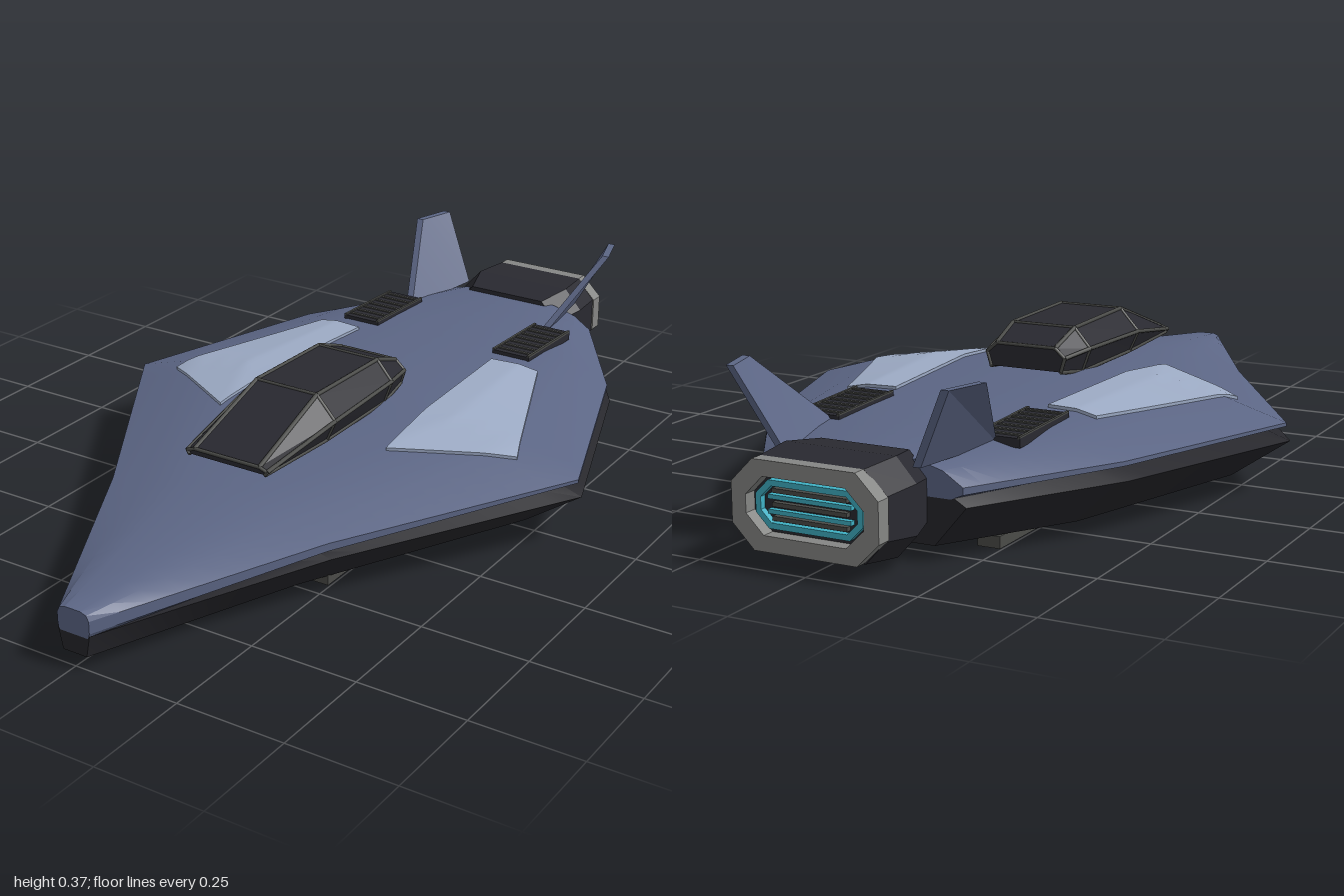
import * as THREE from 'three';
import { toCreasedNormals } from 'three/addons/utils/BufferGeometryUtils.js';

const mat = (name, color) => Object.assign(new THREE.MeshStandardMaterial({ color }), { name });

// Hull stations, nose to tail: z, then half-profile points
// [flat top], [shoulder], [rim top], [rim bottom]
const UPPER = [
  [1.0, [0.02, 0.13], [0.034, 0.125], [0.04, 0.113], [0.04, 0.085]],
  [0.52, [0.08, 0.182], [0.18, 0.167], [0.285, 0.14], [0.285, 0.122]],
  [0.0, [0.29, 0.226], [0.45, 0.2], [0.602, 0.155], [0.602, 0.147]],
  [-0.49, [0.25, 0.216], [0.34, 0.197], [0.435, 0.162], [0.435, 0.152]],
  [-0.8, [0.13, 0.203], [0.19, 0.187], [0.235, 0.158], [0.235, 0.143]],
];
// [rim], [bottom edge]
const LOWER = [
  [1.0, [0.04, 0.08], [0.03, 0.03]],
  [0.52, [0.292, 0.104], [0.21, 0.021]],
  [0.0, [0.612, 0.115], [0.475, 0.02]],
  [-0.49, [0.445, 0.122], [0.33, 0.022]],
  [-0.8, [0.242, 0.118], [0.17, 0.032]],
];
const CANOPY = [
  [0.48, [0.085, 0.247], [0.105, 0.24], [0.1, 0.232]],
  [0.25, [0.08, 0.328], [0.128, 0.275], [0.105, 0.225]],
  [0.0, [0.08, 0.323], [0.12, 0.277], [0.1, 0.222]],
  [-0.09, [0.075, 0.29], [0.1, 0.268], [0.09, 0.235]],
];

const lerp = THREE.MathUtils.lerp;

// Half-profile of a station list at any z
function profileAt(stations, z) {
  let i = 0;
  while (i < stations.length - 2 && z < stations[i + 1][0]) i++;
  const [a, b] = [stations[i], stations[i + 1]];
  const t = (z - a[0]) / (b[0] - a[0]);
  return a.slice(1).map((p, k) => [lerp(p[0], b[k + 1][0], t), lerp(p[1], b[k + 1][1], t)]);
}

// Height of the upper hull at x, z
function topY(x, z) {
  const p = profileAt(UPPER, z);
  if (x <= p[0][0]) return p[0][1];
  const i = x <= p[1][0] ? 0 : 1;
  return lerp(p[i][1], p[i + 1][1], (x - p[i][0]) / (p[i + 1][0] - p[i][0]));
}

// Subdivide stations so twisted faces stay even
function refine(stations, n) {
  const out = [];
  for (let i = 0; i < stations.length - 1; i++)
    for (let k = 0; k < n; k++) {
      const z = lerp(stations[i][0], stations[i + 1][0], k / n);
      out.push([z, ...profileAt(stations, z)]);
    }
  out.push(stations[stations.length - 1]);
  return out;
}

// Mirrored, capped loft through half-profiles listed top to bottom, front to back
function loft(stations, crease = 0.3) {
  const pos = [], idx = [];
  const n = (stations[0].length - 1) * 2;
  for (const [z, ...half] of stations) {
    for (const [x, y] of half) pos.push(x, y, z);
    for (const [x, y] of [...half].reverse()) pos.push(-x, y, z);
  }
  for (let i = 0; i < stations.length - 1; i++)
    for (let j = 0; j < n; j++) {
      const a = i * n + j, b = i * n + (j + 1) % n;
      idx.push(a, b, b + n, a, b + n, a + n);
    }
  const last = (stations.length - 1) * n;
  for (let j = 1; j < n - 1; j++) {
    idx.push(0, j + 1, j);
    idx.push(last, last + j, last + j + 1);
  }
  const g = new THREE.BufferGeometry();
  g.setAttribute('position', new THREE.Float32BufferAttribute(pos, 3));
  g.setIndex(idx);
  return toCreasedNormals(g, crease);
}

// Elongated octagon outline
function octagon(w, h, c, Type = THREE.Shape) {
  return new Type([[w, h - c], [w - c, h], [c - w, h], [-w, h - c], [-w, c - h], [c - w, -h], [w - c, -h], [w, c - h]]
    .map(([x, y]) => new THREE.Vector2(x, y)));
}
function octagonRing(w, h, c, t, depth) {
  const s = octagon(w, h, c);
  s.holes.push(octagon(w - t, h - t, c * 0.8, THREE.Path));
  return new THREE.ExtrudeGeometry(s, { depth, bevelEnabled: false });
}

export function createModel() {
  const hullBlue = mat('hull blue', 0x5c6685);
  const dark = mat('dark underside', 0x26262b);
  const glass = mat('dark glass', 0x292930);
  const trim = mat('grey trim', 0x4a4b48);
  const metal = mat('nozzle metal', 0x858684);
  const glow = mat('engine cyan', 0x3fb0c4);
  const panelBlue = mat('panel light blue', 0x9dabc5);
  panelBlue.side = THREE.DoubleSide;

  const model = new THREE.Group();
  const add = (name, geo, material, parent = model) => {
    const m = new THREE.Mesh(geo, material);
    m.name = name;
    parent.add(m);
    return m;
  };
  const box = (name, w, h, d, x, y, z, material, parent) => {
    const m = add(name, new THREE.BoxGeometry(w, h, d), material, parent);
    m.position.set(x, y, z);
    return m;
  };
  const bar = (name, a, b, r, material, parent) => {
    const [p, q] = [new THREE.Vector3(...a), new THREE.Vector3(...b)];
    const m = add(name, new THREE.CylinderGeometry(r, r, p.distanceTo(q), 6), material, parent);
    m.position.copy(p).lerp(q, 0.5);
    m.quaternion.setFromUnitVectors(new THREE.Vector3(0, 1, 0), q.sub(p).normalize());
  };

  // Hull halves, meeting at a recessed seam
  const upper = UPPER.map((s) => [...s, [s[4][0] * 0.88, s[4][1] - 0.012]]);
  const lower = LOWER.map((s, i) => [s[0], [s[1][0] * 0.88, UPPER[i][4][1] - 0.008], s[1], s[2]]);
  add('upperHull', loft(refine(upper, 8)), hullBlue);
  add('lowerHull', loft(refine(lower, 8)), dark);

  // Canopy with its frame
  add('canopy', loft(CANOPY, 0.1), glass);
  const frame = new THREE.Group();
  frame.name = 'canopyFrame';
  model.add(frame);
  CANOPY.forEach(([z, ...half], i) => {
    for (const s of [1, -1]) {
      half.forEach(([x, y], k) => {
        if (k < 2) bar('crossRib', [s * x, y, z], [s * half[k + 1][0], half[k + 1][1], z], 0.004, trim, frame);
        const next = CANOPY[i + 1];
        if (next) bar('lengthRib', [s * x, y, z], [s * next[k + 1][0], next[k + 1][1], next[0]], 0.005, trim, frame);
      });
    }
    bar('topRib', [-half[0][0], half[0][1], z], [half[0][0], half[0][1], z], 0.004, trim, frame);
  });

  // Engine housing, nozzle rim and glowing grille
  const housing = [[-0.78, 0.148, 0.03, 0.215], [-0.87, 0.173, 0.022, 0.226], [-0.97, 0.163, 0.035, 0.222]];
  add('engineHousing', loft(housing.map(([z, w, y0, y1]) =>
    [z, [w - 0.045, y1], [w, y1 - 0.05], [w, y0 + 0.05], [w - 0.045, y0]]), 0.1), glass);
  const engine = new THREE.Group();
  engine.name = 'engineNozzle';
  engine.position.set(0, 0.13, -1);
  model.add(engine);
  add('nozzleRim', octagonRing(0.167, 0.092, 0.05, 0.033, 0.036), metal, engine);
  add('glowRing', octagonRing(0.122, 0.049, 0.03, 0.012, 0.015), glow, engine).position.z = 0.016;
  for (const y of [-0.015, 0.015]) box('glowBar', 0.19, 0.009, 0.012, 0, y, 0.024, glow, engine);
  for (const y of [-0.028, 0, 0.028]) box('grilleBar', 0.17, 0.009, 0.012, 0, y, 0.024, trim, engine);

  // Parts repeated on each side
  for (const side of [1, -1]) {
    const half = new THREE.Group();
    half.name = side > 0 ? 'leftSide' : 'rightSide';
    half.scale.x = side;
    model.add(half);

    // Wing panel draped over the hull, its border folded down
    const n = 16, panel = new THREE.PlaneGeometry(1, 1, n, n), p = panel.attributes.position;
    const [A, B, C, D] = [[0.19, -0.35], [0.31, -0.362], [0.47, 0.04], [0.225, 0.195]];
    for (let i = 0; i < p.count; i++) {
      const c = i % (n + 1), r = Math.floor(i / (n + 1));
      const u = THREE.MathUtils.clamp((c - 1) / (n - 2), 0, 1);
      const v = THREE.MathUtils.clamp((r - 1) / (n - 2), 0, 1);
      const [x, z] = [0, 1].map((k) => lerp(lerp(A[k], B[k], u), lerp(D[k], C[k], u), v));
      const border = c === 0 || c === n || r === 0 || r === n;
      p.setXYZ(i, x, topY(x, z) + (border ? -0.002 : 0.007), z);
    }
    add('wingPanel', toCreasedNormals(panel, 0.3), panelBlue, half);

    // Slatted vent
    const vent = new THREE.Group();
    vent.name = 'vent';
    vent.position.set(0.215, 0.213, -0.51);
    vent.rotation.x = -0.035;
    half.add(vent);
    box('ventBase', 0.1, 0.02, 0.22, 0, 0, 0, glass, vent);
    for (let i = 0; i < 7; i++) box('ventSlat', 0.084, 0.004, 0.008, 0, 0.011, -0.09 + i * 0.03, trim, vent);
    for (const x of [-0.047, 0.047]) box('ventRail', 0.006, 0.005, 0.22, x, 0.011, 0, trim, vent);

    // Canted tail fin: a thin box with its corners moved
    const fin = new THREE.BoxGeometry(1, 1, 1), f = fin.attributes.position;
    for (let i = 0; i < f.count; i++) {
      const up = f.getY(i) > 0, front = f.getZ(i) > 0;
      const [x, y, z] = up ? (front ? [0.274, 0.37, -0.79] : [0.246, 0.37, -0.885])
        : (front ? [0.192, 0.2, -0.6] : [0.158, 0.2, -0.845]);
      f.setXYZ(i, x + f.getX(i) * 0.018, y, z);
    }
    add('tailFin', toCreasedNormals(fin, 0.2), hullBlue, half);

    // Landing skid
    box('skid', 0.052, 0.026, 1.13, 0.219, 0.013, -0.105, trim, half);
  }
  return model;
}
